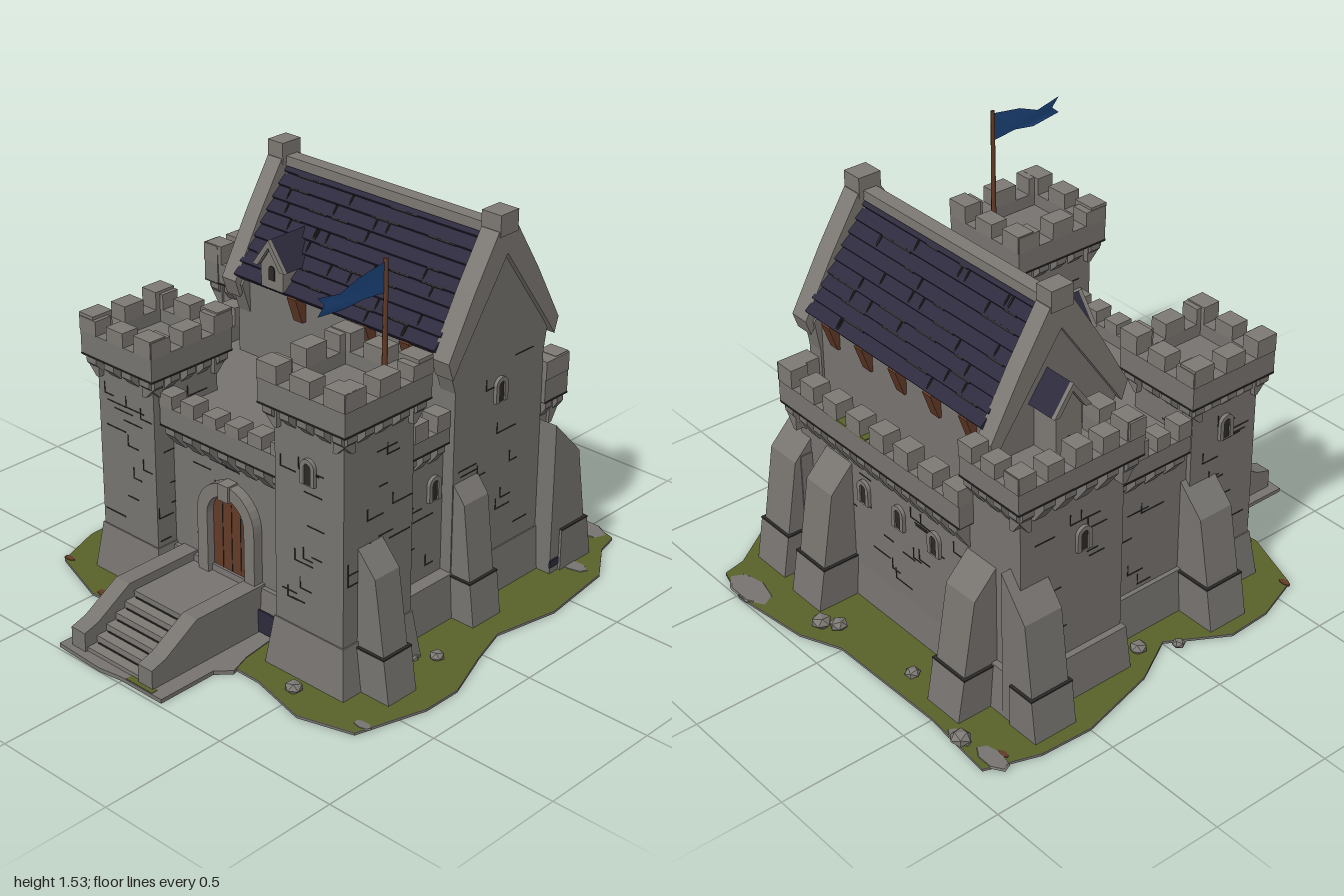
import * as THREE from 'three';

const M = {};
for (const [name, hex] of Object.entries({
  stone: 0x777470, paleStone: 0x7d7974, slate: 0x2d2b3d, mortar: 0x2c2a28,
  wood: 0x633b27, grass: 0x596329, flagBlue: 0x1e4780,
})) {
  M[name] = new THREE.MeshStandardMaterial({ color: hex });
  M[name].name = name;
}
M.flagBlue.side = THREE.DoubleSide;

let seed = 7;
const rnd = (a = 0, b = 1) => {
  seed = (seed * 16807) % 2147483647;
  return a + (b - a) * (seed / 2147483647);
};

export function createModel() {
  const model = new THREE.Group();
  model.name = 'castle';

  const add = (name, geo, mat, parent = model) => {
    const m = new THREE.Mesh(geo, mat);
    m.name = name;
    parent.add(m);
    return m;
  };
  const box = (name, mat, x0, x1, y0, y1, z0, z1, parent) => {
    const m = add(name, new THREE.BoxGeometry(x1 - x0, y1 - y0, z1 - z0), mat, parent);
    m.position.set((x0 + x1) / 2, (y0 + y1) / 2, (z0 + z1) / 2);
    return m;
  };
  // box whose top is drawn in by s on every side
  const taper = (name, mat, x0, x1, y0, y1, z0, z1, s) => {
    const m = box(name, mat, x0, x1, y0, y1, z0, z1), p = m.geometry.attributes.position;
    for (let i = 0; i < p.count; i++) if (p.getY(i) > 0) {
      p.setX(i, p.getX(i) - Math.sign(p.getX(i)) * s);
      p.setZ(i, p.getZ(i) - Math.sign(p.getZ(i)) * s);
    }
    m.geometry.computeVertexNormals();
  };
  const shapeOf = pts => new THREE.Shape(pts.map(p => new THREE.Vector2(...p)));
  const extrude = (s, depth) => new THREE.ExtrudeGeometry(s, { depth, bevelEnabled: false, curveSegments: 8 });
  // (z, y) profile swept from x0 to x1
  const sweepX = (name, mat, pts, x0, x1, parent) =>
    add(name, extrude(shapeOf(pts), x1 - x0).rotateY(-Math.PI / 2).translate(x1, 0, 0), mat, parent);
  // group whose local +z points out of a wall
  const frame = (name, x, y, z, rot) => {
    const g = new THREE.Group();
    g.name = name;
    g.position.set(x, y, z);
    g.rotation.y = rot;
    model.add(g);
    return g;
  };
  const FRONT = 0, RIGHT = Math.PI / 2, BACK = Math.PI, LEFT = -Math.PI / 2;

  // crenellated parapet on corbels; x, z is the middle of its outer face
  const parapet = (name, x, z, L, rot, y0, y1, yTop, n, corbel = 0.09, t = 0.07) => {
    const g = frame(name, x, 0, z, rot);
    box('parapetWall', M.stone, -L / 2, L / 2, y0, y1, -t, 0, g);
    box('parapetJoint', M.mortar, -L / 2, L / 2, y0 - 0.003, y0 + 0.003, -t, 0.002, g);
    const p = L / (n - 0.4);
    for (let i = 0; i < n; i++) {
      const a = -L / 2 + i * p;
      box('merlon', M.paleStone, a, a + p * 0.6, y1, yTop + rnd(-0.015, 0.006), -t, 0.003, g);
    }
    const c = Math.round(L / 0.085);
    for (let i = 0; i < c; i++) {
      const a = -L / 2 + (i + 0.22) * L / c;
      sweepX('corbel', M.stone, [[-t, y0 - corbel], [-t + 0.015, y0 - corbel], [-0.005, y0 - 0.03], [-0.005, y0], [-t, y0]], a, a + L / c * 0.55, g);
    }
  };
  // scattered dark masonry joints on a wall face
  const joints = (x, z, w, rot, y0, y1, n) => {
    const g = frame('masonryJoints', x, 0, z, rot);
    for (let i = 0; i < n; i++) {
      const l = rnd(0.04, 0.11), a = rnd(-w / 2, w / 2 - l), y = rnd(y0, y1);
      box('joint', M.mortar, a, a + l, y, y + 0.004, -0.004, 0.002, g);
      if (i % 2) box('joint', M.mortar, a, a + 0.004, y, y + 0.045, -0.004, 0.002, g);
    }
  };
  const archShape = (w, h) => {
    const s = new THREE.Shape();
    s.moveTo(-w / 2, 0); s.lineTo(w / 2, 0); s.lineTo(w / 2, h - w / 2);
    s.absarc(0, h - w / 2, w / 2, 0, Math.PI, false);
    s.closePath();
    return s;
  };
  const archway = (name, mat, x, y, z, rot, w, h, rim, depth) => {
    const g = frame(name, x, y, z, rot);
    const outer = archShape(w + rim * 2, h + rim);
    outer.holes.push(archShape(w, h));
    add('archSurround', extrude(outer, depth), M.paleStone, g);
    add('archPanel', extrude(archShape(w, h), 0.008), mat, g);
    return g;
  };
  const window_ = (x, y, z, rot) => archway('window', M.mortar, x, y, z, rot, 0.03, 0.08, 0.017, 0.014);
  const buttress = (x, z, w, rot, d, h) => {
    const g = frame('buttress', x, 0, z, rot);
    sweepX('buttressBody', M.stone, [[-0.05, 0], [d, 0], [d * 0.82, 0.2], [d * 0.55, h - 0.11], [-0.05, h + 0.04]], -w / 2, w / 2, g);
    sweepX('buttressFoot', M.stone, [[0, 0], [d + 0.012, 0], [d * 0.82 + 0.012, 0.18], [0, 0.18]], -w / 2 - 0.01, w / 2 + 0.01, g);
    box('joint', M.mortar, -w / 2 - 0.012, w / 2 + 0.012, 0.178, 0.184, 0, d * 0.83 + 0.012, g);
  };

  // ground: a thin grass sheet over a stone bed
  const lawn = [[-.81, .91], [-.5, .88], [0, .89], [.16, .96], [.48, 1], [.63, .96], [.65, .87], [.76, .71], [.8, .39], [.75, .13],
    [.8, -.03], [.88, -.24], [.88, -.4], [.8, -.67], [.59, -.73], [.35, -.67], [-.32, -.66], [-.5, -.68], [-.76, -.59], [-.83, -.4],
    [-.84, -.22], [-.71, 0], [-.81, .18], [-.89, .5], [-.88, .71]].reverse();
  add('groundBed', extrude(shapeOf(lawn), 0.01).rotateX(-Math.PI / 2), M.stone);
  add('lawn', new THREE.ShapeGeometry(shapeOf(lawn)).rotateX(-Math.PI / 2).translate(0, 0.0125, 0), M.grass);
  const apron = [[-.32, -.45], [-.32, -.68], [-.36, -.7], [-.35, -.79], [-.32, -.8], [-.32, -.99], [-.1, -1], [0, -.985], [.2, -.985], [.2, -.74], [.25, -.69], [.22, -.6], [.2, -.45]];
  add('stairApron', extrude(shapeOf(apron), 0.016).rotateX(-Math.PI / 2), M.stone);
  box('grassTuft', M.grass, 0.02, 0.15, 0.014, 0.018, 0.955, 0.982);
  for (const [x, z, r] of [[.1, -.83, .035], [.15, -.87, .04], [-.66, -.88, .04], [-.28, -.79, .03], [-.69, -.1, .035], [-.76, .03, .025],
    [.6, .5, .03], [.48, .63, .035], [-.43, .58, .04], [.64, .2, .025], [.7, .14, .03]]) {
    const m = add('rock', new THREE.IcosahedronGeometry(r, 0), M.paleStone);
    m.position.set(x, r * 0.75, z);
    m.scale.y = 0.7;
    m.rotation.y = rnd(0, 3);
  }
  const patch = (name, mat, x, z, r, squash) => {
    const m = add(name, new THREE.CylinderGeometry(r * 0.9, r, 0.006, 7), mat);
    m.position.set(x, 0.012, z);
    m.scale.z = squash;
  };
  for (const [x, z, r] of [[.49, -.945, .12], [-.79, -.85, .08], [.65, -.69, .07], [.79, .62, .04], [-.64, -.87, .06]])
    patch('bareRock', M.stone, x, z, r, 0.5);
  for (const [x, z, r] of [[-.8, -.81, .025], [-.75, .575, .028], [-.46, .655, .04], [.7, .13, .018]])
    patch('bareEarth', M.wood, x, z, r, 0.5);

  // main walls and plinth
  box('gatehouseBody', M.stone, -0.59, 0.5, 0, 0.73, -0.6, 0.42);
  taper('plinth', M.stone, -0.62, 0.565, 0, 0.19, -0.66, 0.45, 0.012);
  box('rearWall', M.stone, -0.67, 0.53, 0, 0.73, -0.65, -0.54);
  box('rearLeftTower', M.stone, -0.7, -0.46, 0, 0.94, -0.65, -0.2);
  taper('rearLeftPlinth', M.stone, -0.74, -0.42, 0, 0.19, -0.69, -0.18, 0.015);
  parapet('frontParapet', 0, 0.49, 0.62, FRONT, 0.7, 0.78, 0.83, 6);
  parapet('rightParapet', 0.545, 0.07, 0.3, RIGHT, 0.72, 0.78, 0.85, 3);
  parapet('leftParapet', -0.645, -0.02, 0.36, LEFT, 0.72, 0.79, 0.86, 4);
  parapet('rearParapet', 0.05, -0.71, 1.02, BACK, 0.7, 0.79, 0.86, 8, 0.11);
  parapet('rearParapetEnd', 0.565, -0.645, 0.13, RIGHT, 0.7, 0.79, 0.86, 1, 0.1);
  parapet('rearLeftTowerBack', -0.615, -0.71, 0.3, BACK, 0.92, 1.0, 1.07, 3, 0.1);
  parapet('rearLeftTowerLeft', -0.765, -0.44, 0.54, LEFT, 0.92, 1.0, 1.07, 5, 0.1);
  parapet('rearLeftTowerFront', -0.65, -0.175, 0.22, FRONT, 0.92, 1.0, 1.07, 2, 0.1);
  box('rearLeftTowerInner', M.stone, -0.53, -0.46, 0.92, 1.0, -0.7, -0.6);
  box('mossPatch', M.grass, 0.05, 0.26, 0.787, 0.795, -0.712, -0.63);

  // great hall with steep gables
  const rz = -0.33, ridge = 1.44, drop = 0.375;
  sweepX('hallBody', M.stone, [[-0.57, 0.5], [-0.1, 0.5], [-0.1, 1.05], [rz, 1.38], [-0.57, 1.05]], -0.49, 0.53);
  for (const [a, b, w0, w1] of [[-0.53, -0.46, -0.51, -0.45], [0.49, 0.57, 0.48, 0.548]]) {
    sweepX('gableWall', M.stone, [[-0.58, 0], [-0.1, 0], [-0.1, 0.9], [-0.06, 1.02], [rz, 1.44], [-0.6, 1.02], [-0.58, 0.9]], w0, w1);
    sweepX('gableCoping', M.paleStone, [[-0.035, 1.04], [-0.16, 1.26], [rz + 0.05, 1.45], [rz - 0.05, 1.45], [-0.5, 1.26], [-0.63, 1.03],
      [-0.61, 0.97], [-0.57, 1.03], [rz, 1.36], [-0.1, 1.03], [-0.06, 0.97]], a, b);
    box('gableFinial', M.paleStone, a - 0.003, b + 0.003, 1.43, 1.51, rz - 0.047, rz + 0.047);
  }
  const rows = 9;
  for (const s of [0, 1]) {
    const g = frame(s ? 'rearRoof' : 'frontRoof', 0.015, 0, rz, s * Math.PI);
    const pts = [[0, ridge - 0.1], [0, ridge]];
    for (let i = 0; i < rows; i++) { // stepped slate courses
      const t = (i + 1) / rows;
      pts.push([t * 0.29 + 0.004, ridge - t * drop + 0.005], [t * 0.29 - 0.004, ridge - t * drop - 0.005]);
    }
    pts.push([0.26, 1.04]);
    sweepX('slates', M.slate, pts.reverse(), -0.485, 0.485, g);
    for (let i = 0; i < 50; i++) { // dark gaps between slates
      const t = (1 + Math.floor(rnd(0, rows - 1))) / rows, l = rnd(0.04, 0.13), up = i % 2 === 0;
      const m = add('slateGap', new THREE.BoxGeometry(up ? 0.005 : l, up ? 0.04 : 0.008, 0.006), M.mortar, g);
      const u = t + (up ? 0.05 : 0);
      m.position.set(rnd(-0.41, 0.41), ridge - u * drop + 0.002, u * 0.29 + 0.002);
      m.rotation.x = -0.66;
    }
    for (const x of s ? [-0.38, -0.19, 0, 0.19, 0.38] : [-0.2, 0.14, 0.34]) // timber eave brackets
      sweepX('eaveBracket', M.wood, [[0.2, 0.95], [0.25, 0.95], [0.285, 1.05], [0.2, 1.08]], x - 0.022, x + 0.022, g);
  }
  box('ridgeCap', M.paleStone, -0.47, 0.5, 1.42, 1.458, rz - 0.028, rz + 0.028);

  // dormers: one on the front slope, one over the left gable door
  const dormer = (name, x, z, rot, y, apex, depth) => {
    const g = frame(name, x, 0, z, rot), e = apex - 0.09;
    add('dormerWall', extrude(shapeOf([[-0.055, y], [0.055, y], [0.055, e], [0, apex - 0.02], [-0.055, e]]), depth - 0.02).translate(0, 0, -depth), M.paleStone, g);
    const roof = [[-0.08, e - 0.02], [-0.055, e - 0.02], [0, apex - 0.03], [0.055, e - 0.02], [0.08, e - 0.02], [0, apex]];
    add('dormerRoof', extrude(shapeOf(roof), depth - 0.015).translate(0, 0, -depth), M.slate, g);
    add('dormerVerge', extrude(shapeOf(roof), 0.015).translate(0, 0, -0.015), M.paleStone, g);
    add('dormerWindow', extrude(archShape(0.028, 0.055), 0.006).translate(0, y + 0.035, -0.022), M.mortar, g);
  };
  dormer('frontDormer', -0.265, -0.01, FRONT, 1.07, 1.265, 0.2);
  dormer('leftDoorPorch', -0.64, -0.375, LEFT, 0.92, 1.22, 0.14);

  // front towers
  const tower = (name, x0, x1, z0, z1, h) => {
    const cx = (x0 + x1) / 2, cz = (z0 + z1) / 2, w = x1 - x0, d = z1 - z0, o = 0.04;
    box(name, M.stone, x0, x1, 0, h - 0.12, z0, z1);
    taper(name + 'Plinth', M.stone, x0 - 0.03, x1 + 0.03, 0, 0.2, z0 - 0.03, z1 + 0.03, 0.025);
    for (const [x, z, L, r] of [[cx, z1 + o, w, FRONT], [cx, z0 - o, w, BACK], [x1 + o, cz, d, RIGHT], [x0 - o, cz, d, LEFT]]) {
      parapet(name + 'Parapet', x, z, L + 2 * o, r, h - 0.16, h - 0.07, h, 3, 0.08);
      const face = r === FRONT || r === BACK;
      joints(x - (face ? 0 : Math.sign(x - cx) * o), z - (face ? Math.sign(z - cz) * o : 0), L, r, 0.22, h - 0.28, 12);
    }
  };
  tower('leftTower', -0.61, -0.32, 0.2, 0.51, 1.05);
  tower('rightTower', 0.31, 0.625, 0.2, 0.54, 1.18);

  // buttresses
  buttress(0.62, 0.41, 0.12, RIGHT, 0.15, 0.58);
  buttress(0.53, -0.17, 0.13, RIGHT, 0.125, 0.59);
  buttress(-0.6, 0.25, 0.15, LEFT, 0.175, 0.56);
  buttress(-0.7, -0.61, 0.16, LEFT, 0.125, 0.58);
  buttress(-0.5, -0.65, 0.15, BACK, 0.17, 0.59);
  buttress(0.3, -0.65, 0.15, BACK, 0.17, 0.59);
  box('cornerPier', M.stone, 0.47, 0.6, 0, 0.5, -0.7, -0.6);
  buttress(0.55, -0.63, 0.15, BACK, 0.17, 0.59);

  // wall details
  joints(0, 0.42, 0.6, FRONT, 0.2, 0.6, 8);
  joints(0, -0.65, 1.1, BACK, 0.2, 0.57, 24);
  joints(0.548, -0.33, 0.44, RIGHT, 0.25, 1.0, 12);
  joints(0.5, 0.06, 0.26, RIGHT, 0.2, 0.62, 6);
  joints(-0.7, -0.42, 0.42, LEFT, 0.2, 0.75, 12);
  joints(-0.59, 0, 0.36, LEFT, 0.2, 0.62, 8);
  window_(0.548, 0.79, -0.34, RIGHT);
  window_(0.5, 0.49, -0.05, RIGHT);
  window_(0.47, 0.77, 0.54, FRONT);
  window_(-0.61, 0.68, 0.36, LEFT);
  window_(-0.7, 0.6, -0.38, LEFT);
  for (const x of [-0.25, -0.05, 0.15]) window_(x, 0.45, -0.65, BACK);
  archway('hallDoor', M.stone, 0.22, 0.74, -0.1, FRONT, 0.075, 0.16, 0.025, 0.02);
  box('slatePatch', M.slate, 0.135, 0.275, 0.02, 0.11, 0.45, 0.456);
  box('slatePatch', M.slate, -0.335, -0.29, 0.05, 0.09, 0.535, 0.542);
  box('slatePatch', M.slate, 0.636, 0.642, 0.05, 0.08, -0.61, -0.56);

  // gate
  const gate = archway('gate', M.wood, -0.02, 0.16, 0.42, FRONT, 0.185, 0.34, 0.05, 0.04);
  for (const x of [-0.045, 0, 0.045]) box('plankGap', M.mortar, x - 0.001, x + 0.001, 0.01, 0.3, 0.006, 0.01, gate);
  box('keystone', M.paleStone, -0.025, 0.025, 0.33, 0.395, 0, 0.05, gate);

  // entrance stairs
  box('landing', M.stone, -0.22, 0.08, 0, 0.165, 0.42, 0.73);
  for (let i = 0; i < 5; i++) {
    const y = 0.14 - i * 0.027, z = 0.73 + i * 0.045;
    box('step', M.paleStone, -0.21, 0.08, 0, y, z, z + 0.045);
    box('stepEdge', M.mortar, -0.2, 0.07, y, y + 0.003, z, z + 0.005);
  }
  for (const x of [-0.28, 0.065])
    sweepX('stairCheek', M.stone, [[0.42, 0], [0.965, 0], [0.965, 0.09], [0.9, 0.11], [0.75, 0.2], [0.42, 0.2]], x, x + 0.07);

  // flag
  const pole = add('flagPole', new THREE.CylinderGeometry(0.008, 0.011, 0.52, 6), M.wood);
  pole.position.set(0.57, 1.27, 0.29);
  const cloth = [[0.29, 1.41], [0.4, 1.42], [0.48, 1.41], [0.61, 1.425], [0.575, 1.455], [0.61, 1.49], [0.5, 1.47], [0.42, 1.5], [0.29, 1.52]];
  const geo = new THREE.ShapeGeometry(shapeOf(cloth)).rotateY(-Math.PI / 2), p = geo.attributes.position;
  for (let i = 0; i < p.count; i++) p.setX(i, 0.57 + 0.004 * Math.sin((p.getZ(i) - 0.29) * 22));
  geo.computeVertexNormals();
  add('flag', geo, M.flagBlue);

  return model;
}
